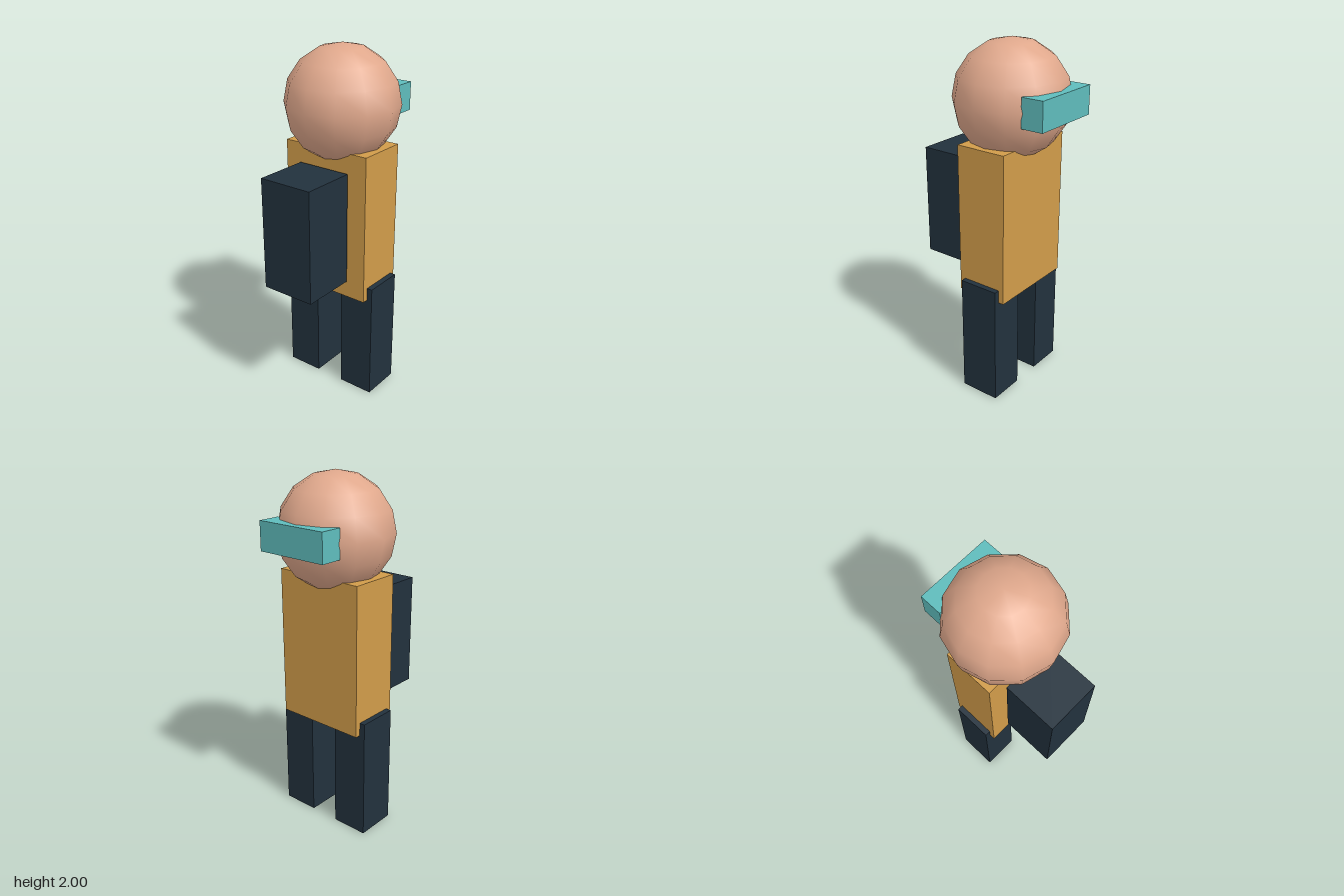
import * as THREE from 'three';

const material = (color) => new THREE.MeshStandardMaterial({ color });

// Box given by its extents along each axis
function block(name, mat, [x0, x1], [y0, y1], [z0, z1]) {
  const mesh = new THREE.Mesh(new THREE.BoxGeometry(x1 - x0, y1 - y0, z1 - z0), mat);
  mesh.position.set((x0 + x1) / 2, (y0 + y1) / 2, (z0 + z1) / 2);
  mesh.name = name;
  return mesh;
}

export function createModel() {
  const model = new THREE.Group();
  model.name = 'figure';
  const skin = material(0xe0a88c);
  const amber = material(0xd19c4a);
  const navy = material(0x22313d);
  const teal = material(0x5fbcbc);

  // Head: low-polygon ball with smooth shading, sunk into the torso
  const head = new THREE.Mesh(new THREE.SphereGeometry(0.318, 12, 8), skin);
  head.position.set(0, 1.682, -0.07);
  head.name = 'head';
  model.add(head);

  // Visor bar, torso and pack
  model.add(
    block('visor', teal, [-0.212, 0.212], [1.605, 1.763], [-0.41, -0.284]),
    block('torso', amber, [-0.266, 0.266], [0.62, 1.467], [-0.218, 0.08]),
    block('pack', navy, [-0.159, 0.159], [0.724, 1.36], [0.093, 0.41])
  );

  // Legs, mirrored about the centre
  for (const [name, side] of [['leftLeg', 1], ['rightLeg', -1]]) {
    const leg = block(name, navy, [0.086, 0.298], [0, 0.695], [-0.187, 0.046]);
    leg.position.x *= side;
    model.add(leg);
  }

  return model;
}
